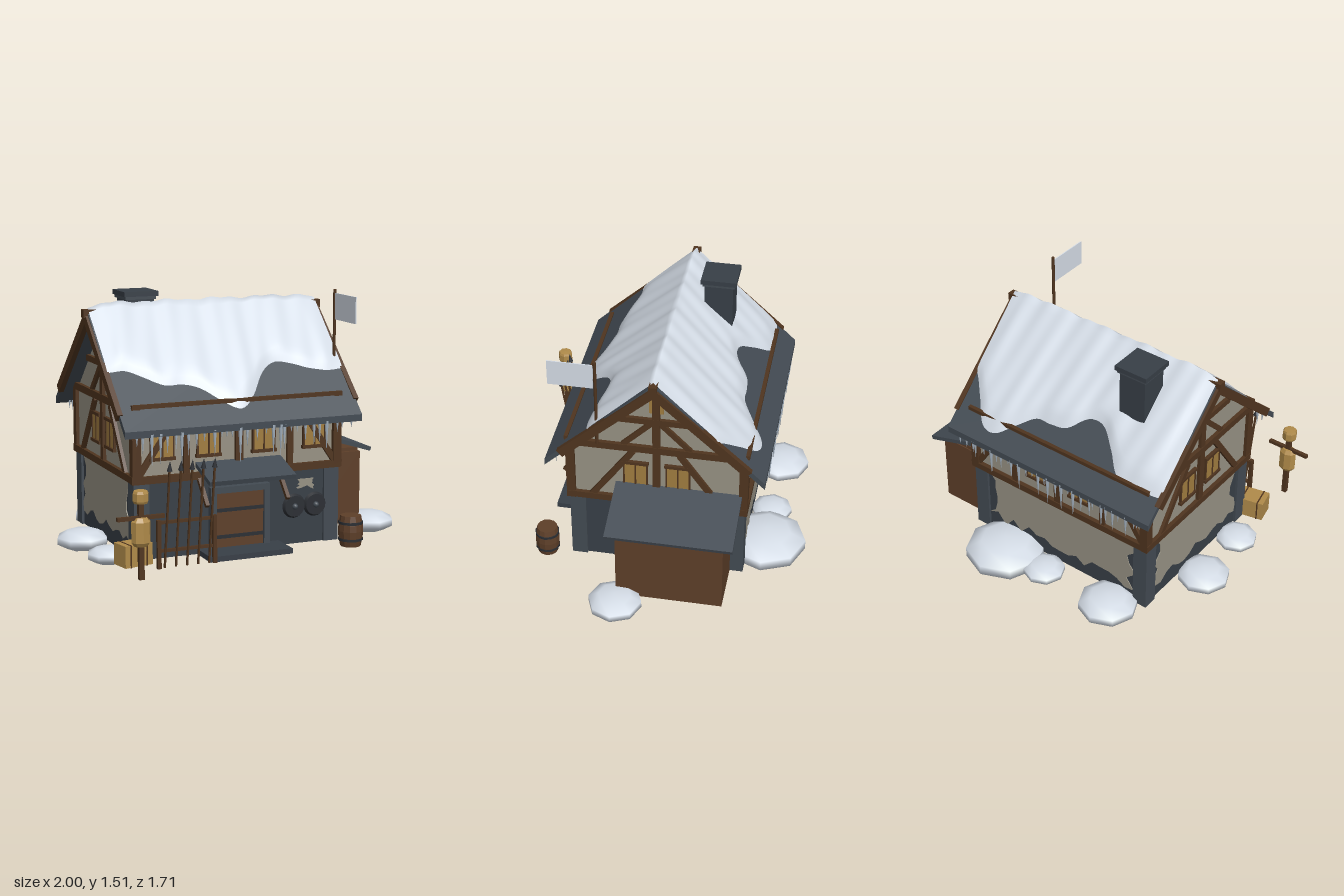
import * as THREE from 'three';

const mat = (name, color, side = THREE.FrontSide) => {
  const m = new THREE.MeshStandardMaterial({ color, side });
  m.name = name;
  return m;
};

export function createModel() {
  const M = {
    plaster: mat('plaster', 0x979284), timber: mat('timber', 0x50351f), wood: mat('planks', 0x5e3f29),
    stone: mat('stone', 0x383f47), slate: mat('slate', 0x434b53), snow: mat('snow', 0xd8e0ea, THREE.DoubleSide),
    ice: mat('ice', 0xaab8c6), iron: mat('iron', 0x2b2e33), amber: mat('amber glass', 0xa17d40), straw: mat('straw', 0xb08b4a),
  };
  const V = (x, y, z) => new THREE.Vector3(x, y, z);
  let seed = 7;
  const rnd = () => (seed = (seed * 16807) % 2147483647) / 2147483647;

  const add = (parent, name, geo, m, x = 0, y = 0, z = 0) => {
    const mesh = new THREE.Mesh(geo, m);
    mesh.name = name;
    mesh.position.set(x, y, z);
    parent.add(mesh);
    return mesh;
  };
  const box = (p, name, m, w, h, d, x, y, z) => add(p, name, new THREE.BoxGeometry(w, h, d), m, x, y, z);
  const beam = (p, name, m, a, b, t = 0.045, d = t) => {
    const c = a.clone().add(b).multiplyScalar(0.5), dir = b.clone().sub(a);
    const mesh = box(p, name, m, t, dir.length(), d, c.x, c.y, c.z);
    mesh.quaternion.setFromUnitVectors(V(0, 1, 0), dir.normalize());
    return mesh;
  };
  const group = (p, name, x = 0, y = 0, z = 0, ry = 0) => {
    const g = new THREE.Group();
    g.name = name;
    g.position.set(x, y, z);
    g.rotation.y = ry;
    p.add(g);
    return g;
  };
  const faceted = (g) => { const f = g.toNonIndexed(); f.computeVertexNormals(); return f; };
  const lathe = (pts, n) => faceted(new THREE.LatheGeometry(pts.map(([r, y]) => new THREE.Vector2(r, y)), n));
  // cross-section in (z, y), swept along x
  const sweep = (pts, len) => {
    const s = new THREE.Shape(pts.map(([u, v]) => new THREE.Vector2(u, v)));
    return new THREE.ExtrudeGeometry(s, { depth: len, bevelEnabled: false }).translate(0, 0, -len / 2).rotateY(Math.PI / 2);
  };

  const root = new THREE.Group();
  root.name = 'snowyHouse';
  const house = group(root, 'house', -0.135, 0, -0.025);

  // stone ground floor, corner piers and plastered upper storey
  box(house, 'groundFloor', M.stone, 1.2, 0.43, 0.97, 0, 0.315, 0);
  for (const sx of [-1, 1]) for (const sz of [-1, 1]) {
    box(house, 'cornerPier', M.slate, 0.09, 0.43, 0.09, sx * 0.57, 0.315, sz * 0.455);
    box(house, 'cornerPost', M.timber, 0.05, 0.4, 0.05, sx * 0.6, 0.73, sz * 0.49);
  }
  add(house, 'upperStorey', sweep([[-0.49, 0.53], [0.49, 0.53], [0.49, 0.895], [0, 1.36], [-0.49, 0.895]], 1.21), M.plaster);

  // two-leaf window facing +z
  const windowUnit = (p, x, y, z) => {
    const g = group(p, 'window', x, y, z);
    box(g, 'glass', M.amber, 0.125, 0.15, 0.02, 0, 0, 0);
    for (const u of [-0.065, 0, 0.065]) box(g, 'mullion', M.timber, 0.009, 0.15, 0.028, u, 0, 0);
    box(g, 'lintel', M.timber, 0.15, 0.018, 0.04, 0, 0.08, 0);
    box(g, 'sill', M.timber, 0.15, 0.018, 0.04, 0, -0.08, 0);
  };

  // long timber-framed walls
  const longWall = (name, ry, windows) => {
    const g = group(house, name, 0, 0, 0, ry);
    box(g, 'sillBeam', M.timber, 1.25, 0.04, 0.05, 0, 0.545, 0.49);
    box(g, 'wallPlate', M.timber, 1.25, 0.04, 0.05, 0, 0.87, 0.49);
    box(g, 'midPost', M.timber, 0.045, 0.34, 0.04, 0, 0.72, 0.49);
    for (const s of [-1, 1]) {
      beam(g, 'brace', M.timber, V(s * 0.4, 0.84, 0.49), V(s * 0.59, 0.56, 0.49), 0.035, 0.036);
      box(g, 'sidePost', M.timber, 0.035, 0.32, 0.036, s * 0.31, 0.72, 0.49);
    }
    windows.forEach((x) => windowUnit(g, x, 0.735, 0.494));
  };
  longWall('frontFrame', 0, [-0.45, -0.18, 0.15, 0.46]);
  longWall('backFrame', Math.PI, [-0.15, 0.15]);

  // gable ends
  for (const s of [-1, 1]) {
    const g = group(house, 'gable', 0, 0, 0, s * Math.PI / 2);
    box(g, 'sillBeam', M.timber, 1.03, 0.04, 0.05, 0, 0.55, 0.603);
    box(g, 'tieBeam', M.timber, 1.03, 0.042, 0.05, 0, 0.923, 0.603);
    box(g, 'collarBeam', M.timber, 0.5, 0.035, 0.046, 0, 1.118, 0.603);
    box(g, 'kingPost', M.timber, 0.042, 0.8, 0.044, 0, 0.95, 0.603);
    box(g, 'atticWindow', M.amber, 0.08, 0.11, 0.02, 0, 1.225, 0.602);
    for (const u of [-1, 1]) {
      beam(g, 'brace', M.timber, V(u * 0.13, 0.9, 0.603), V(u * 0.37, 0.56, 0.603), 0.035, 0.042);
      beam(g, 'gableBrace', M.timber, V(u * 0.19, 0.94, 0.603), V(u * 0.02, 1.11, 0.603), 0.03, 0.04);
      beam(g, 'bargeBoard', M.timber, V(u * 0.525, 0.9, 0.7), V(0, 1.375, 0.7), 0.05, 0.03);
      windowUnit(g, u * 0.12, 0.735, 0.605);
    }
    box(g, 'ridgeEnd', M.timber, 0.045, 0.045, 0.09, 0, 1.4, 0.68);
  }

  // slate roof with snow guards
  add(house, 'roof', sweep([[-0.615, 0.8], [0, 1.378], [0.615, 0.8], [0.615, 0.838], [0, 1.42], [-0.615, 0.838]], 1.4), M.slate);
  for (const s of [-1, 1]) box(house, 'snowGuard', M.timber, 1.25, 0.022, 0.022, 0, 0.948, s * 0.508);

  // roof snow with drifting lower edges
  const edge = (zs) => new THREE.SplineCurve(zs.map((z, i) => new THREE.Vector2(i, z)));
  const front = edge([0.335, 0.325, 0.365, 0.41, 0.41, 0.435, 0.505, 0.55, 0.485, 0.375, 0.325, 0.34, 0.37, 0.385, 0.385]);
  const back = edge([0.515, 0.515, 0.515, 0.5, 0.415, 0.345, 0.345, 0.415, 0.43, 0.435, 0.495, 0.56, 0.555, 0.455, 0.365]);
  const NX = 70, NS = 28, pos = [], idx = [];
  for (let i = 0; i <= NX; i++) for (let j = 0; j <= NS; j++) {
    const t = i / NX, s = (j / NS) * 2 - 1, x = -0.695 + 1.39 * t;
    const z = s * (s > 0 ? front : back).getPoint(t).y;
    const rim = (1 - Math.pow(Math.abs(s), 16)) * Math.min(1, 0.35 + Math.min(t, 1 - t) * 10);
    const h = 0.036 + 0.005 * Math.sin(x * 21) + 0.004 * Math.sin(x * 47 + s * 5);
    pos.push(x, 1.42 - 0.946 * Math.abs(z) + h * rim - (Math.abs(s) === 1 ? 0.006 : 0), z);
    if (i < NX && j < NS) {
      const a = i * (NS + 1) + j, b = a + NS + 1;
      idx.push(a, a + 1, b, a + 1, b + 1, b);
    }
  }
  const snowGeo = new THREE.BufferGeometry();
  snowGeo.setAttribute('position', new THREE.Float32BufferAttribute(pos, 3));
  snowGeo.setIndex(idx);
  snowGeo.computeVertexNormals();
  add(house, 'roofSnow', snowGeo, M.snow);

  // icicles along both eaves
  for (const s of [-1, 1]) for (let i = 0; i < 30; i++) {
    const len = 0.05 + 0.16 * rnd() ** 2, x = -0.65 + 1.3 * (i + rnd() * 0.8) / 30;
    add(house, 'icicle', new THREE.ConeGeometry(0.007 + len * 0.03, len, 5).rotateX(Math.PI), M.ice, x, 0.815 - len / 2, s * 0.606);
  }

  // ragged plaster left on the stone walls
  const patch = (p, w, h, x, y, z, n, j) => {
    const pts = [], r = () => (rnd() - 0.3) * j;
    for (let i = 0; i <= n; i++) pts.push([-w / 2 + w * i / n, -h / 2 + r()]);
    for (let i = 1; i < 6; i++) pts.push([w / 2 - r(), -h / 2 + h * i / 6]);
    pts.push([w / 2, h / 2], [-w / 2, h / 2]);
    for (let i = 5; i > 0; i--) pts.push([-w / 2 + r(), -h / 2 + h * i / 6]);
    const s = new THREE.Shape(pts.map(([u, v]) => new THREE.Vector2(u, v)));
    add(p, 'plasterPatch', new THREE.ExtrudeGeometry(s, { depth: 0.006, bevelEnabled: false }), M.plaster, x, y, z);
  };
  patch(group(house, 'backPlaster', 0, 0, 0, Math.PI), 1.04, 0.34, 0, 0.355, 0.484, 18, 0.08);
  patch(group(house, 'leftPlaster', 0, 0, 0, -Math.PI / 2), 0.8, 0.35, 0, 0.35, 0.599, 14, 0.08);
  patch(house, 0.1, 0.06, 0.415, 0.44, 0.484, 5, 0.03);

  // chimney
  box(house, 'chimney', M.stone, 0.165, 0.56, 0.165, -0.342, 1.18, -0.2);
  box(house, 'chimneyCollar', M.slate, 0.185, 0.02, 0.185, -0.342, 1.462, -0.2);
  box(house, 'chimneyCap', M.stone, 0.205, 0.028, 0.205, -0.342, 1.484, -0.2);

  // doorway, step and canopy
  const door = group(root, 'entrance', -0.133, 0, 0.46);
  for (const s of [-1, 1]) {
    box(door, 'doorJamb', M.slate, 0.035, 0.37, 0.06, s * 0.16, 0.285, 0.01);
    beam(door, 'canopyBracket', M.timber, V(s * 0.24, 0.4, 0.14), V(s * 0.24, 0.53, 0.02), 0.022);
  }
  box(door, 'doorLintel', M.slate, 0.355, 0.035, 0.06, 0, 0.455, 0.01);
  box(door, 'doorLeaf', M.wood, 0.285, 0.32, 0.03, 0, 0.28, 0.01);
  for (const y of [0.19, 0.34]) box(door, 'doorBand', M.iron, 0.285, 0.02, 0.036, 0, y, 0.011);
  box(door, 'doorStep', M.stone, 0.49, 0.03, 0.19, 0, 0.115, 0.1);
  box(door, 'canopy', M.slate, 0.51, 0.025, 0.22, 0, 0.572, 0.105).rotation.x = 0.32;

  // shields on the wall
  for (const x of [0.205, 0.335]) {
    add(root, 'shield', new THREE.CylinderGeometry(0.06, 0.07, 0.018, 20).rotateX(Math.PI / 2), M.iron, x, 0.32, 0.476);
    add(root, 'shieldBoss', new THREE.SphereGeometry(0.018, 10, 6), M.slate, x, 0.32, 0.486);
  }

  // lean-to shed
  box(root, 'shed', M.wood, 0.33, 0.43, 0.605, 0.62, 0.315, -0.147);
  add(root, 'shedTop', sweep([[-0.3, 0], [0.3, 0], [0.3, 0.02], [-0.3, 0.02]], 0.3), M.wood, 0.62, 0.535, -0.147);
  box(root, 'shedRoof', M.slate, 0.37, 0.024, 0.715, 0.652, 0.603, -0.15).rotation.z = -0.3;

  // flag
  add(root, 'flagPole', new THREE.CylinderGeometry(0.009, 0.009, 0.54, 8), M.timber, 0.535, 1.24, 0.295);
  box(root, 'flag', M.snow, 0.006, 0.15, 0.25, 0.535, 1.415, 0.432);

  // barrel
  const barrel = group(root, 'barrel', 0.487, 0.1, 0.62);
  add(barrel, 'staves', lathe([[0, 0], [0.058, 0], [0.068, 0.05], [0.071, 0.088], [0.068, 0.125], [0.058, 0.175], [0, 0.175]], 12), M.wood);
  for (const y of [0.04, 0.135]) add(barrel, 'hoop', new THREE.CylinderGeometry(0.07, 0.07, 0.014, 12), M.iron, 0, y, 0);

  // straw bale
  const bale = group(root, 'bale', -0.775, 0.165, 0.53, 0.21);
  box(bale, 'baleBody', M.straw, 0.17, 0.12, 0.12, 0, 0, 0);
  for (const x of [-0.05, 0.05]) box(bale, 'baleTie', M.timber, 0.008, 0.124, 0.124, x, 0, 0);

  // scarecrow
  const dummy = group(root, 'scarecrow', -0.832, 0, 0.81);
  box(dummy, 'post', M.timber, 0.028, 0.42, 0.028, 0, 0.31, 0);
  box(dummy, 'arms', M.timber, 0.26, 0.02, 0.022, 0, 0.43, 0);
  add(dummy, 'torso', lathe([[0, 0.275], [0.036, 0.278], [0.053, 0.3], [0.053, 0.41], [0.036, 0.432], [0, 0.435]], 8), M.straw).scale.z = 0.8;
  add(dummy, 'head', lathe([[0, 0.505], [0.037, 0.507], [0.043, 0.52], [0.043, 0.56], [0.037, 0.573], [0, 0.575]], 8), M.straw);

  // spear rack
  const rack = group(root, 'spearRack', -0.515, 0, 0.655);
  for (const s of [-1, 1]) box(rack, 'rackPost', M.timber, 0.022, 0.265, 0.022, s * 0.16, 0.232, 0);
  for (const y of [0.195, 0.35]) box(rack, 'rackRail', M.timber, 0.34, 0.016, 0.018, 0, y, -0.005);
  for (let i = -2; i <= 2; i++) {
    const x = i * 0.064 + 0.004;
    beam(rack, 'spearShaft', M.timber, V(x, 0.1, -0.01), V(x, 0.65, 0.072), 0.01);
    add(rack, 'spearHead', new THREE.ConeGeometry(0.015, 0.055, 6), M.iron, x, 0.67, 0.075).rotation.x = 0.15;
  }

  // snow drifts: x, z, radius
  const drift = new THREE.SphereGeometry(1.05, 8, 5);
  for (const [x, z, r] of [[-0.56, -0.62, 0.17], [0.185, -0.62, 0.235], [-0.1, -0.62, 0.12], [-0.855, -0.1, 0.15], [-0.83, 0.28, 0.12], [0.848, 0.148, 0.152]])
    add(root, 'snowDrift', drift, M.snow, x, 0.1, z).scale.set(r, r * 0.39, r);

  return root;
}
